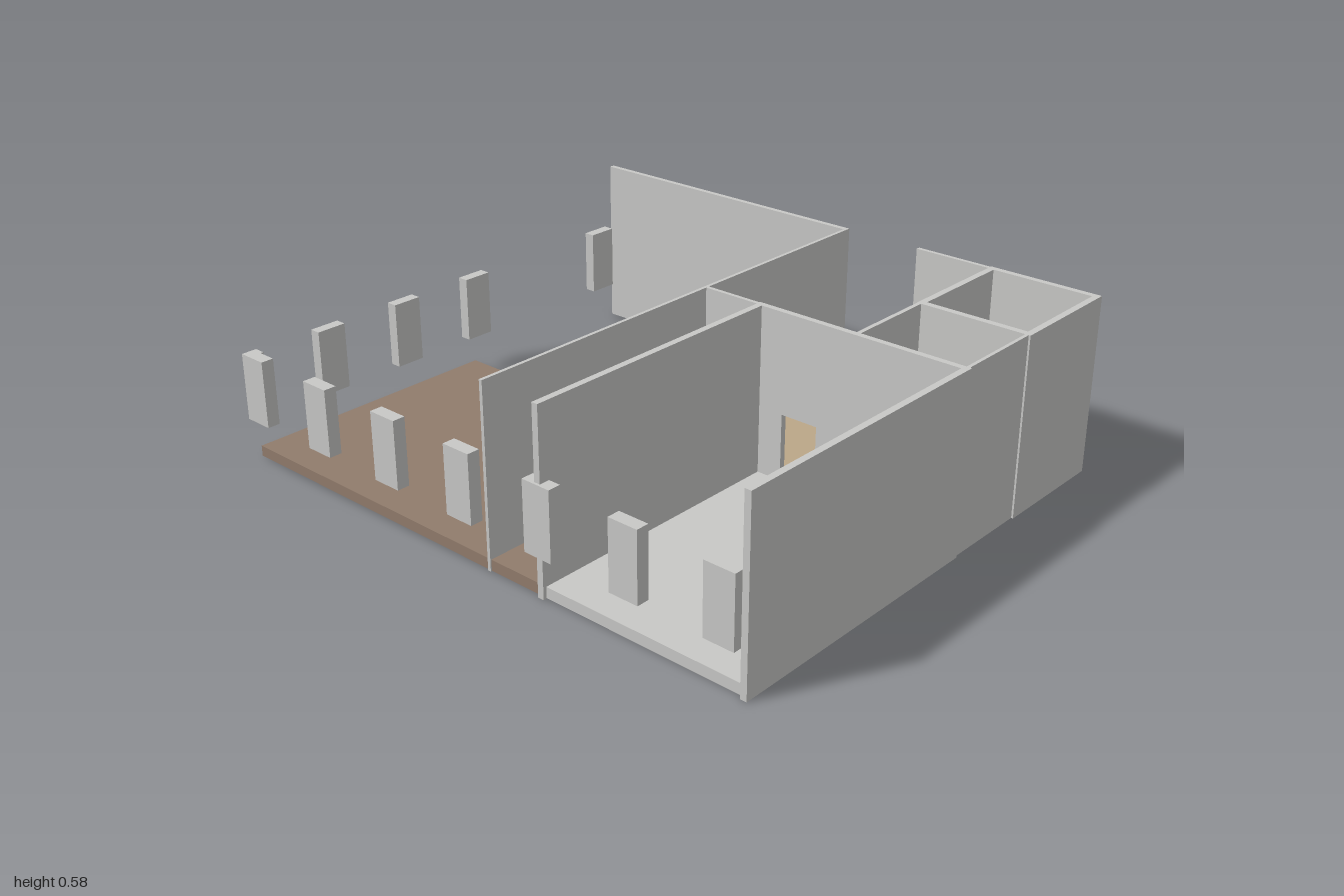
import * as THREE from 'three';

const WALL_TOP = 0.58;
const FLOOR_TOP = 0.037;

export function createModel() {
  const model = new THREE.Group();
  model.name = 'floorPlan';

  const mat = (name, color) => {
    const m = new THREE.MeshStandardMaterial({ color });
    m.name = name;
    return m;
  };
  const grey = mat('plasterGrey', 0xc8c8c6);
  const brown = mat('deckBrown', 0x917c6c);
  const tan = mat('floorTan', 0xbba788);

  // Axis-aligned block given by its limits
  const block = (name, material, x0, x1, y0, y1, z0, z1) => {
    const mesh = new THREE.Mesh(new THREE.BoxGeometry(x1 - x0, y1 - y0, z1 - z0), material);
    mesh.position.set((x0 + x1) / 2, (y0 + y1) / 2, (z0 + z1) / 2);
    mesh.name = name;
    model.add(mesh);
  };
  const wall = (name, x0, x1, z0, z1) => block(name, grey, x0, x1, 0, WALL_TOP, z0, z1);
  const floor = (name, material, x0, x1, z0, z1) => block(name, material, x0, x1, 0.002, FLOOR_TOP, z0, z1);

  // Floors
  floor('deckFloor', brown, -0.977, 0.277, -0.1, 0.803);
  floor('hallFloor', tan, 0.079, 0.62, -0.81, -0.113);
  floor('mainRoomFloor', grey, 0.293, 0.977, -0.1, 0.803);
  floor('smallRoomFloor', grey, 0.638, 0.977, -0.807, -0.438);

  // Long partition and rear walls
  wall('rearWall', -0.985, 0.08, -0.824, -0.806);
  wall('longPartition', 0.069, 0.08, -0.808, 0.807);
  wall('rearEntryWall', 0.355, 0.62, -0.822, -0.808);

  // Main room
  wall('mainRoomRightWall', 0.274, 0.295, -0.117, 0.814);
  wall('mainRoomLeftWall', 0.975, 0.996, -0.117, 0.814);
  wall('hallEndWall', 0.08, 0.274, -0.113, -0.1);

  // Main room back wall with a doorway cut out
  const doorway = new THREE.Shape();
  [[0.295, 0], [0.975, 0], [0.975, WALL_TOP], [0.295, WALL_TOP]]
    .forEach(([x, y], i) => (i ? doorway.lineTo(x, y) : doorway.moveTo(x, y)));
  const hole = new THREE.Path();
  [[0.38, FLOOR_TOP], [0.38, 0.255], [0.507, 0.255], [0.507, FLOOR_TOP]]
    .forEach(([x, y], i) => (i ? hole.lineTo(x, y) : hole.moveTo(x, y)));
  doorway.holes.push(hole);
  const doorWall = new THREE.Mesh(
    new THREE.ExtrudeGeometry(doorway, { depth: 0.02, bevelEnabled: false }), grey);
  doorWall.position.z = -0.117;
  doorWall.name = 'mainRoomDoorWall';
  model.add(doorWall);

  // Small corner room
  wall('smallRoomRearWall', 0.618, 0.996, -0.826, -0.805);
  wall('smallRoomFrontWall', 0.618, 0.996, -0.44, -0.418);
  wall('smallRoomRightWall', 0.618, 0.639, -0.805, -0.44);
  wall('smallRoomLeftWall', 0.975, 0.996, -0.805, -0.44);

  // Thin walls around the open shaft
  wall('shaftRightWall', 0.619, 0.633, -0.418, -0.117);
  wall('shaftLeftWall', 0.979, 0.99, -0.418, -0.117);

  // Raised posts along the front edge
  for (const x of [-0.95, -0.645, -0.335, -0.025, 0.285, 0.595, 0.91]) {
    block('frontPost', grey, x - 0.05, x + 0.05, 0.13, 0.35, 0.78, 0.822);
  }
  // Raised posts along the right edge
  for (const [z0, z1] of [[0.77, 0.82], [0.457, 0.56], [0.146, 0.248], [-0.167, -0.065], [-0.788, -0.686]]) {
    block('sidePost', grey, -1, -0.963, 0.13, 0.35, z0, z1);
  }
  return model;
}
